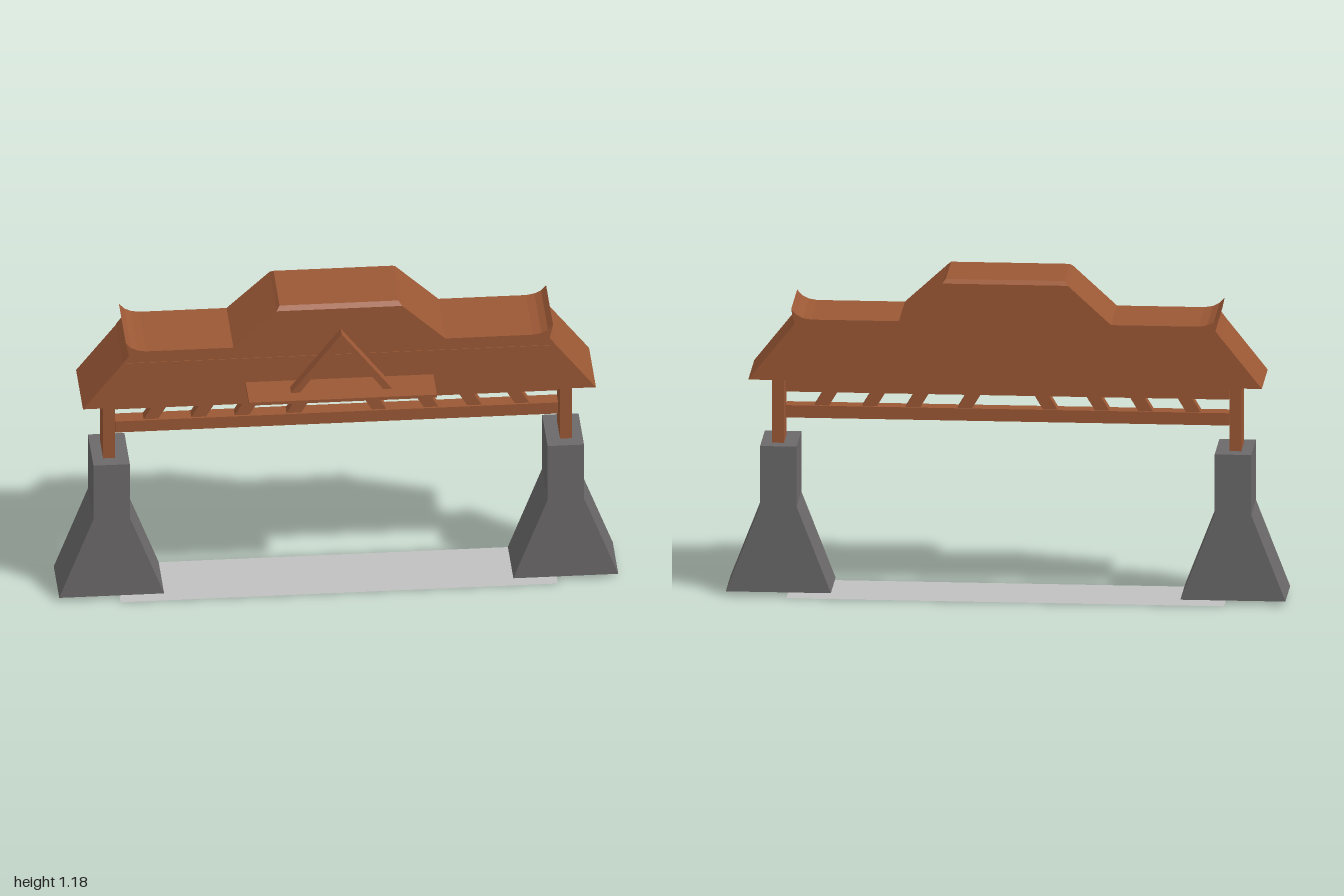
import * as THREE from 'three';

export function createModel() {
  const model = new THREE.Group();
  const wood = new THREE.MeshStandardMaterial({ color: 0x9b5835 });
  wood.name = 'brownWood';
  const stone = new THREE.MeshStandardMaterial({ color: 0x6b6969 });
  stone.name = 'greyStone';
  const path = new THREE.MeshStandardMaterial({ color: 0xc0c0c0, side: THREE.DoubleSide });
  path.name = 'paleGround';

  const add = (name, geometry, material) => {
    const mesh = new THREE.Mesh(geometry, material);
    mesh.name = name;
    model.add(mesh);
    return mesh;
  };
  // Box between two corners
  const block = (name, x0, x1, y0, y1, z0, z1, material = wood) => {
    const mesh = add(name, new THREE.BoxGeometry(x1 - x0, y1 - y0, z1 - z0), material);
    mesh.position.set((x0 + x1) / 2, (y0 + y1) / 2, (z0 + z1) / 2);
    return mesh;
  };
  // Front outline pushed from z0 to z1
  const slab = (name, points, z0, z1, material = wood) => {
    const shape = new THREE.Shape(points.map(([x, y]) => new THREE.Vector2(x, y)));
    const geometry = new THREE.ExtrudeGeometry(shape, { depth: z1 - z0, bevelEnabled: false });
    geometry.translate(0, 0, z0);
    return add(name, geometry, material);
  };
  // Right half of an outline completed with its mirror image
  const mirrored = (half) => [...half, ...half.map(([x, y]) => [-x, y]).reverse()];

  // Ground strip between the piers
  const ground = add('groundStrip', new THREE.PlaneGeometry(1.56, 0.275), path);
  ground.rotation.x = -Math.PI / 2;
  ground.position.z = -0.073;

  // Flared piers and posts
  for (const s of [-1, 1]) {
    const cx = s * 0.81;
    slab('pier', mirrored([[0.187, 0.015], [0.187, 0.016], [0.065, 0.33], [0.065, 0.55]])
      .map(([x, y]) => [x + cx, y]), -0.185, 0.04, stone);
    block('post', s * 0.815 - 0.021, s * 0.815 + 0.021, 0.55, 0.86, -0.133, -0.01);
  }

  // Rails with slanted slats between them
  block('lowerRail', -0.79, 0.79, 0.635, 0.68, -0.1, -0.042);
  block('upperRail', -0.79, 0.79, 0.73, 0.776, -0.1, -0.042);
  for (const s of [-1, 1]) {
    for (const x of [0.155, 0.34, 0.495, 0.665]) {
      slab('slat', [[x - 0.026, 0.675], [x + 0.026, 0.675], [x - 0.055, 0.81], [x - 0.107, 0.81]]
        .map(([px, y]) => [s * px, y]), -0.092, -0.05);
    }
  }

  // Hollow eaves: thin front and back walls, with an inner core raised above the rim
  const eaves = mirrored([[0.915, 0.8], [0.772, 0.98]]);
  slab('eavesFront', eaves, 0.05, 0.07);
  slab('eavesBack', eaves, -0.213, -0.193);
  slab('eavesCore', mirrored([[0.89, 0.8], [0.915, 0.8], [0.772, 0.98]])
    .filter(([x]) => Math.abs(x) !== 0.89)
    .concat([[-0.89, 0.8], [-0.85, 0.85], [0.85, 0.85], [0.89, 0.8]]), -0.193, 0.05);

  // Upper roof with raised middle and curled ends
  slab('upperRoof', mirrored([
    [0.772, 0.98], [0.75, 1.01], [0.755, 1.03], [0.762, 1.062], [0.744, 1.042], [0.72, 1.03],
    [0.69, 1.025], [0.378, 1.025], [0.224, 1.166],
  ]), -0.217, 0.068);

  // Bevelled ridge cap
  const cap = new THREE.BoxGeometry(0.448, 0.013, 0.285);
  const p = cap.attributes.position;
  for (let i = 0; i < p.count; i++) {
    if (p.getY(i) > 0) p.setXYZ(i, Math.sign(p.getX(i)) * 0.212, p.getY(i), Math.sign(p.getZ(i)) * 0.125);
  }
  cap.computeVertexNormals();
  add('ridgeCap', cap, wood).position.set(0, 1.1725, -0.0745);

  // Front shelf carrying an open triangular gable
  block('shelf', -0.335, 0.335, 0.87, 0.882, 0.066, 0.217);
  slab('gableFrame', [
    [-0.182, 0.88], [-0.15, 0.88], [0, 1.08], [0.15, 0.88], [0.182, 0.88], [0, 1.113],
  ], 0.118, 0.16);

  return model;
}
